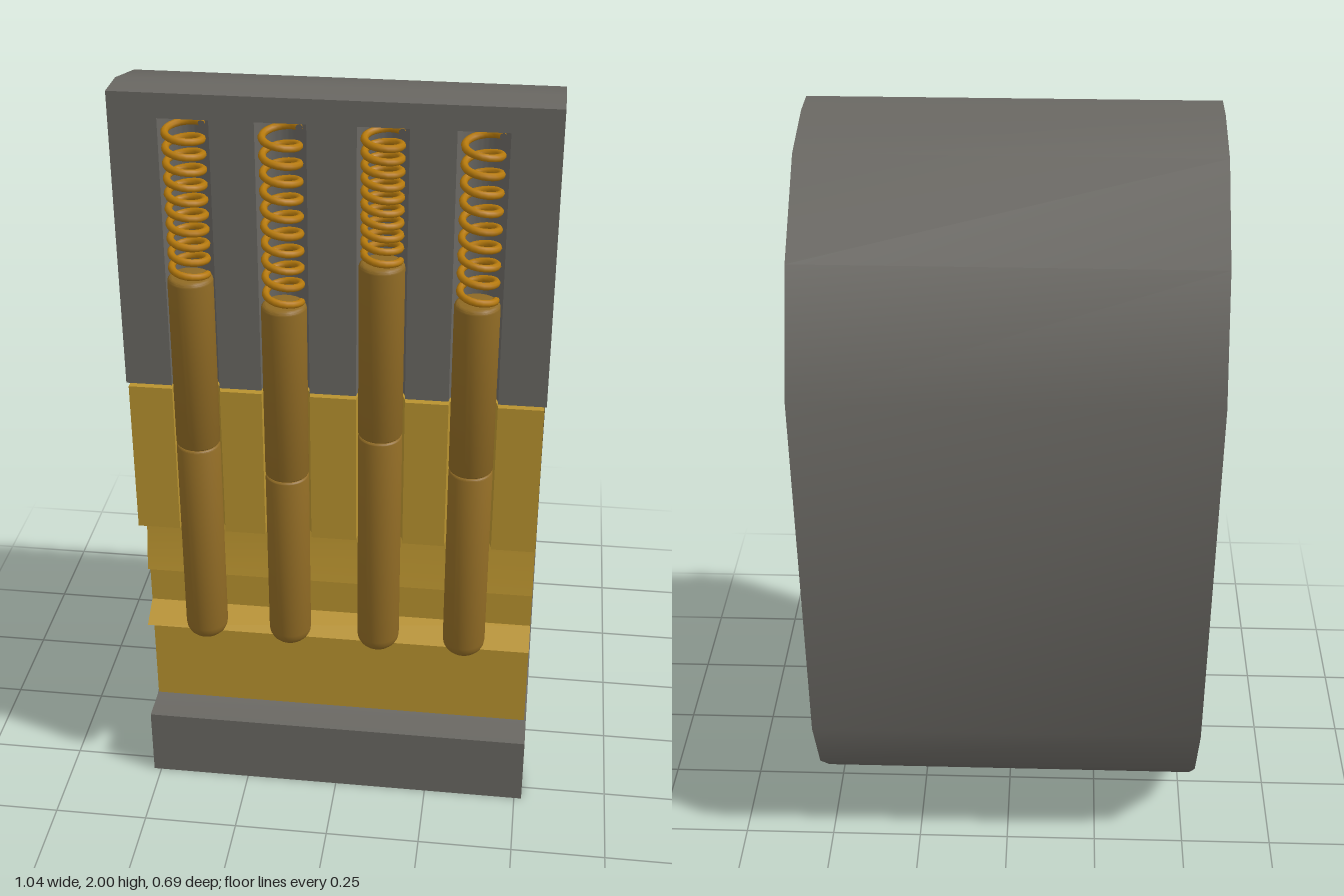
import * as THREE from 'three';
import { toCreasedNormals } from 'three/addons/utils/BufferGeometryUtils.js';

const steel = new THREE.MeshStandardMaterial({ color: 0x696762 });
const brass = new THREE.MeshStandardMaterial({ color: 0xb8922f });
const pinBrass = new THREE.MeshStandardMaterial({ color: 0x8f6a24 });
const springBrass = new THREE.MeshStandardMaterial({ color: 0xb5790c });

const FRONT = 0.297; // cut face
const PIN_R = 0.055;
const BORE_R = 0.06;
const PIN_Z = 0.295;
// x, joint height, top of driver pin, spring turns
const PINS = [
  [-0.345, 1.09, 1.55, 10],
  [-0.12, 1.015, 1.49, 10],
  [0.115, 1.145, 1.61, 10],
  [0.342, 1.06, 1.52, 9],
];

function add(parent, name, geometry, material) {
  const mesh = new THREE.Mesh(geometry, material);
  mesh.name = name;
  parent.add(mesh);
  return mesh;
}

// Side profile given as (z, y) points, extruded across x
function sideExtrude(points, width) {
  const shape = new THREE.Shape(points.map(([z, y]) => new THREE.Vector2(z, y)));
  const g = new THREE.ExtrudeGeometry(shape, { depth: width, bevelEnabled: false });
  g.translate(0, 0, -width / 2);
  g.rotateY(-Math.PI / 2);
  return toCreasedNormals(g, 0.6);
}

// Upright slab whose front is cut by a half-round bore for each pin
function boredSlab(halfWidth, back, y0, y1) {
  const shape = new THREE.Shape();
  shape.moveTo(-halfWidth, -FRONT);
  for (const [x] of PINS) {
    shape.lineTo(x - BORE_R, -FRONT);
    shape.absarc(x, -PIN_Z, BORE_R, Math.PI, 0, true);
    shape.lineTo(x + BORE_R, -FRONT);
  }
  shape.lineTo(halfWidth, -FRONT);
  shape.lineTo(halfWidth, -back);
  shape.lineTo(-halfWidth, -back);
  const g = new THREE.ExtrudeGeometry(shape, { depth: y1 - y0, bevelEnabled: false, curveSegments: 16 });
  g.rotateX(-Math.PI / 2);
  g.translate(0, y0, 0);
  return toCreasedNormals(g, 0.6);
}

// Round pin with eased ends; bottomRound and topRound are the edge radii
function pinGeometry(y0, y1, bottomRound, topRound) {
  const pts = [new THREE.Vector2(0, y0)];
  const steps = 5;
  for (let i = 0; i <= steps; i++) {
    const a = (i / steps) * Math.PI / 2;
    pts.push(new THREE.Vector2(PIN_R - bottomRound + bottomRound * Math.sin(a), y0 + bottomRound * (1 - Math.cos(a))));
  }
  for (let i = 0; i <= steps; i++) {
    const a = (i / steps) * Math.PI / 2;
    pts.push(new THREE.Vector2(PIN_R - topRound + topRound * Math.cos(a), y1 - topRound + topRound * Math.sin(a)));
  }
  pts.push(new THREE.Vector2(0, y1));
  return toCreasedNormals(new THREE.LatheGeometry(pts, 28), 0.6);
}

class Helix extends THREE.Curve {
  constructor(radius, y0, y1, turns) {
    super();
    Object.assign(this, { radius, y0, y1, turns });
  }
  getPoint(t, target = new THREE.Vector3()) {
    const a = t * this.turns * Math.PI * 2;
    return target.set(this.radius * Math.cos(a), this.y0 + (this.y1 - this.y0) * t, this.radius * Math.sin(a));
  }
}

export function createModel() {
  const model = new THREE.Group();
  model.name = 'lockCutaway';

  // Housing: outer back curve, then the cavity around the plug
  const housing = new THREE.Group();
  housing.name = 'housing';
  model.add(housing);
  add(housing, 'housingShell', sideExtrude([
    [FRONT, 2], [0.2, 2], [0.02, 1.96], [-0.2, 1.775], [-0.345, 1.485],
    [-0.345, 0.475], [-0.26, 0.285], [-0.115, 0.14], [0.065, 0.045], [0.21, 0],
    [FRONT, 0], [FRONT, 0.195], [0.21, 0.195], [0.135, 0.222], [-0.005, 0.292],
    [-0.127, 0.412], [-0.2, 0.555], [-0.22, 0.72], [-0.2, 0.885], [-0.127, 1.035],
    [-0.005, 1.15], [0.135, 1.222], [0.21, 1.248], [0.22, 1.248], [0.22, 1.94], [FRONT, 1.94],
  ], 1.04), steel);
  add(housing, 'housingBores', boredSlab(0.52, 0.22, 1.248, 1.94), steel);

  // Plug with the keyway ledges on its front
  const plug = new THREE.Group();
  plug.name = 'plug';
  model.add(plug);
  add(plug, 'plugBody', sideExtrude([
    [0.21, 1.238], [0.135, 1.212], [0, 1.14], [-0.12, 1.028], [-0.19, 0.882],
    [-0.21, 0.72], [-0.19, 0.56], [-0.12, 0.42], [0, 0.302], [0.135, 0.232], [0.21, 0.207],
    [0.21, 0.455], [0.277, 0.49], [0.21, 0.53], [0.21, 0.64], [0.236, 0.645],
    [0.21, 0.785], [0.21, 0.825],
  ], 1.03), brass);
  add(plug, 'plugBores', boredSlab(0.515, 0.21, 0.825, 1.238), brass);

  // Pin stacks: key pin, driver pin and spring
  PINS.forEach(([x, joint, top, turns]) => {
    const stack = new THREE.Group();
    stack.name = 'pinStack';
    stack.position.set(x, 0, PIN_Z);
    model.add(stack);
    add(stack, 'keyPin', pinGeometry(0.5, joint, 0.04, 0.008), pinBrass);
    add(stack, 'driverPin', pinGeometry(joint, top, 0.008, 0.012), pinBrass);
    const coil = new Helix(0.043, top + 0.006, 1.93, turns);
    add(stack, 'spring', new THREE.TubeGeometry(coil, turns * 20, 0.009, 8, false), springBrass);
  });

  return model;
}
